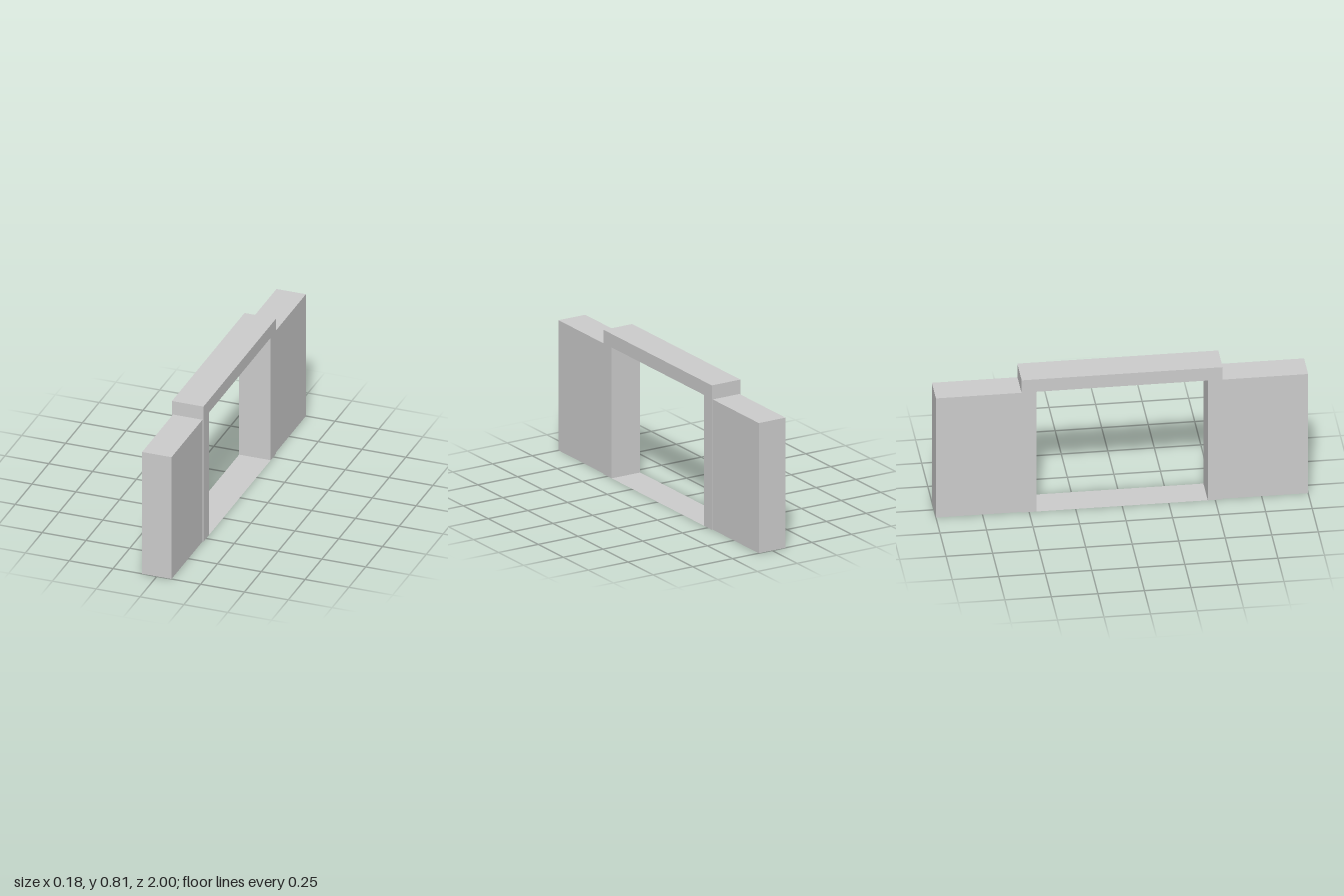
import * as THREE from 'three';

const material = new THREE.MeshStandardMaterial({ color: 0xcccccc, side: THREE.DoubleSide, flatShading: true });

// Removes the triangles lying on the ground, leaving a hollow shell open below
function openBelow(geometry) {
  const g = geometry.index ? geometry.toNonIndexed() : geometry;
  const p = g.attributes.position;
  const kept = [];
  for (let i = 0; i < p.count; i += 3) {
    const onGround = [0, 1, 2].every((k) => Math.abs(p.getY(i + k)) < 1e-5);
    if (!onGround) for (let k = 0; k < 3; k++) kept.push(p.getX(i + k), p.getY(i + k), p.getZ(i + k));
  }
  const shell = new THREE.BufferGeometry();
  shell.setAttribute('position', new THREE.Float32BufferAttribute(kept, 3));
  shell.computeVertexNormals();
  return shell;
}

export function createModel() {
  const group = new THREE.Group();
  const add = (name, geometry) => {
    const mesh = new THREE.Mesh(geometry, material);
    mesh.name = name;
    group.add(mesh);
  };

  const wallHeight = 0.733, wallWidth = 0.168, wallInner = 0.5;
  const frameWidth = 0.18, frameTop = 0.813, frameOuter = 0.54;
  const openingTop = 0.737, openingHalf = 0.46;

  // Wall sections on both sides of the doorway, their ends tucked into the frame
  for (const side of [1, -1]) {
    const wall = new THREE.BoxGeometry(wallWidth, wallHeight, 1 - wallInner);
    wall.translate(0, wallHeight / 2, side * (1 + wallInner) / 2);
    add(side > 0 ? 'frontWall' : 'backWall', openBelow(wall));
  }

  // Door frame: two posts and a lintel in one outline
  const outline = new THREE.Shape([
    [-frameOuter, 0], [-openingHalf, 0], [-openingHalf, openingTop], [openingHalf, openingTop],
    [openingHalf, 0], [frameOuter, 0], [frameOuter, frameTop], [-frameOuter, frameTop],
  ].map(([z, y]) => new THREE.Vector2(z, y)));
  const frame = new THREE.ExtrudeGeometry(outline, { depth: frameWidth, bevelEnabled: false });
  frame.translate(0, 0, -frameWidth / 2).rotateY(Math.PI / 2);
  add('doorFrame', openBelow(frame));

  // Thin floor strip across the doorway
  add('threshold', new THREE.PlaneGeometry(frameWidth, 2 * openingHalf).rotateX(-Math.PI / 2));

  return group;
}
